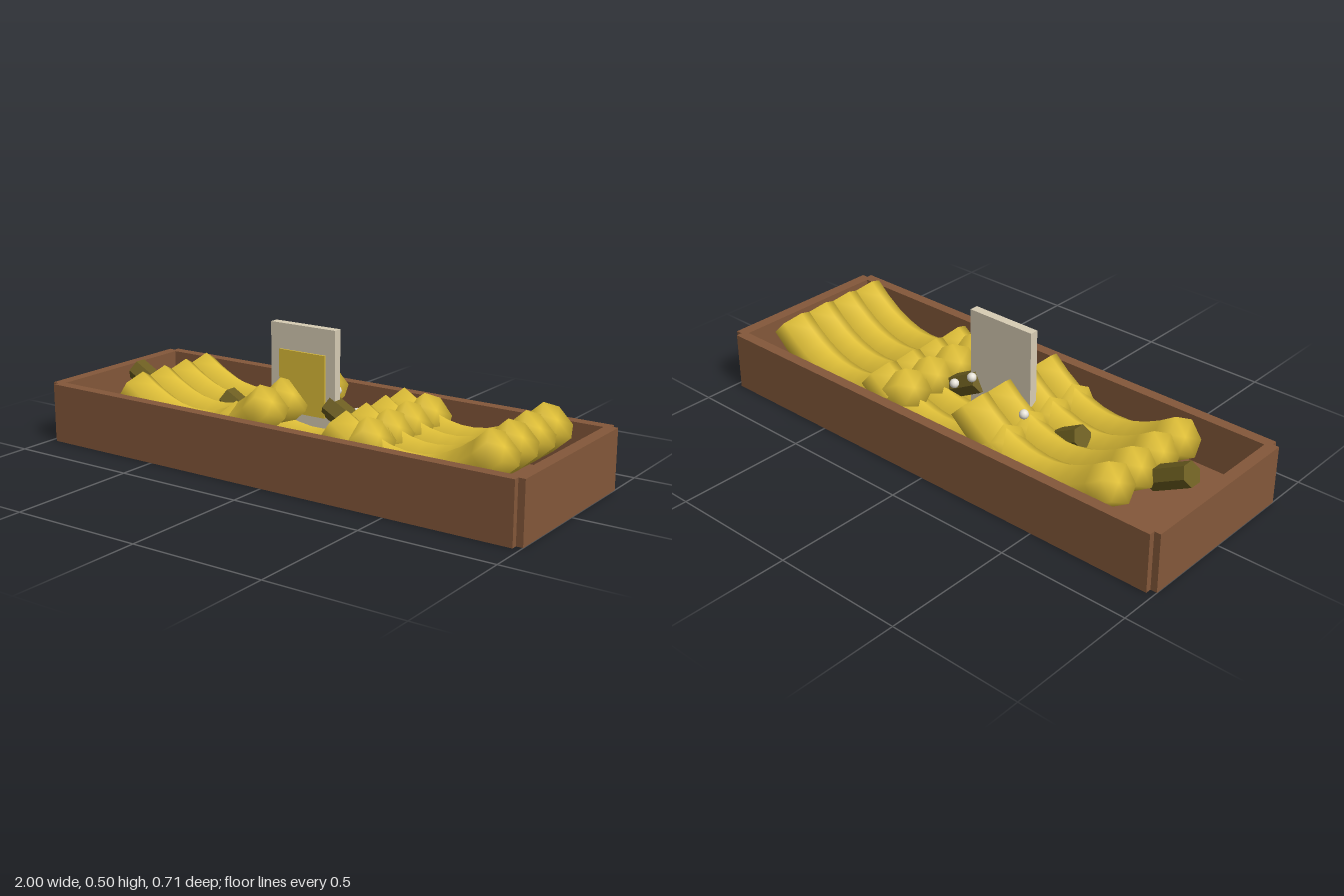
import * as THREE from 'three';

const mat = (name, color, flatShading = false) => {
  const m = new THREE.MeshStandardMaterial({ color, flatShading });
  m.name = name;
  return m;
};

// Six-sided swept fruit, bent in the xy plane, with closed smooth-shaded ends
function fruitGeometry(curve, radius, segments = 10, sides = 6) {
  const pos = [], index = [];
  for (let i = 0; i <= segments; i++) {
    const p = curve.getPoint(i / segments), t = curve.getTangent(i / segments);
    for (let j = 0; j < sides; j++) {
      const a = (j / sides) * Math.PI * 2;
      const up = Math.cos(a) * radius, side = Math.sin(a) * radius;
      pos.push(p.x - t.y * up, p.y + t.x * up, side);
      if (i < segments) {
        const k = (j + 1) % sides;
        const a0 = i * sides + j, a1 = i * sides + k;
        index.push(a0, a1, a0 + sides, a1, a1 + sides, a0 + sides);
      }
    }
  }
  // end caps
  const s = curve.getPoint(0), e = curve.getPoint(1);
  const c0 = pos.length / 3, c1 = c0 + 1, last = segments * sides;
  pos.push(s.x, s.y, 0, e.x, e.y, 0);
  for (let j = 0; j < sides; j++) {
    const k = (j + 1) % sides;
    index.push(c0, k, j, c1, last + j, last + k);
  }
  const g = new THREE.BufferGeometry();
  g.setAttribute('position', new THREE.Float32BufferAttribute(pos, 3));
  g.setIndex(index);
  g.computeVertexNormals();
  return g;
}

export function createModel() {
  const root = new THREE.Group();
  root.name = 'fruitTray';
  const wood = mat('brown wood', 0x84583a);
  const yellow = mat('fruit yellow', 0xdfbf38);
  const stemMat = mat('stem olive', 0x6c5d20, true);
  const card = mat('sign beige', 0xd8cdb5);
  const pale = mat('bead white', 0xe6e2d8);

  const add = (parent, name, geo, material, x = 0, y = 0, z = 0) => {
    const m = new THREE.Mesh(geo, material);
    m.name = name;
    m.position.set(x, y, z);
    parent.add(m);
    return m;
  };

  // Tray: floor and four walls, leaving notched corners
  const H = 0.223;
  add(root, 'trayFloor', new THREE.BoxGeometry(1.95, 0.04, 0.67), wood, 0, 0.02, 0);
  for (const s of [-1, 1]) {
    add(root, s > 0 ? 'frontWall' : 'backWall',
      new THREE.BoxGeometry(1.95, H, 0.042), wood, 0, H / 2, s * 0.336);
    add(root, s > 0 ? 'leftWall' : 'rightWall',
      new THREE.BoxGeometry(0.045, H, 0.67), wood, s * 0.9775, H / 2, 0);
  }

  // Three overlapping bunches of four fruits, each with one stem
  const bunches = [[0, 0, 0], [0.45, -0.045, 0.04], [0.92, 0, 0]];
  bunches.forEach(([dx, dy, lift], n) => {
    const bunch = new THREE.Group();
    bunch.name = 'bunch' + (n + 1);
    bunch.position.set(dx, dy, 0);
    root.add(bunch);
    const curve = new THREE.QuadraticBezierCurve3(
      new THREE.Vector3(-0.725, 0.217, 0),
      new THREE.Vector3(-0.368, -0.033 + lift, 0),
      new THREE.Vector3(-0.075, 0.26, 0));
    const geo = fruitGeometry(curve, 0.077);
    for (let i = 0; i < 4; i++) add(bunch, 'fruit', geo, yellow, 0, 0, (i - 1.5) * 0.1235);
    const stem = add(bunch, 'stem', new THREE.CylinderGeometry(0.045, 0.045, 0.17, 6), stemMat,
      -0.805, 0.186, 0);
    stem.rotation.z = 1.08;
  });

  // Upright sign with a coloured panel on its front
  add(root, 'signBoard', new THREE.BoxGeometry(0.28, 0.42, 0.033), card, -0.06, 0.295, 0.0065);
  add(root, 'signPanel', new THREE.BoxGeometry(0.2, 0.23, 0.008), yellow, -0.06, 0.295, 0.026);

  // Small pale beads among the fruit
  const bead = new THREE.SphereGeometry(0.018, 12, 8);
  for (const [x, y, z] of [[-0.24, 0.237, -0.09], [0.035, 0.265, -0.055], [0.13, 0.2, -0.045]])
    add(root, 'bead', bead, pale, x, y, z);

  return root;
}
